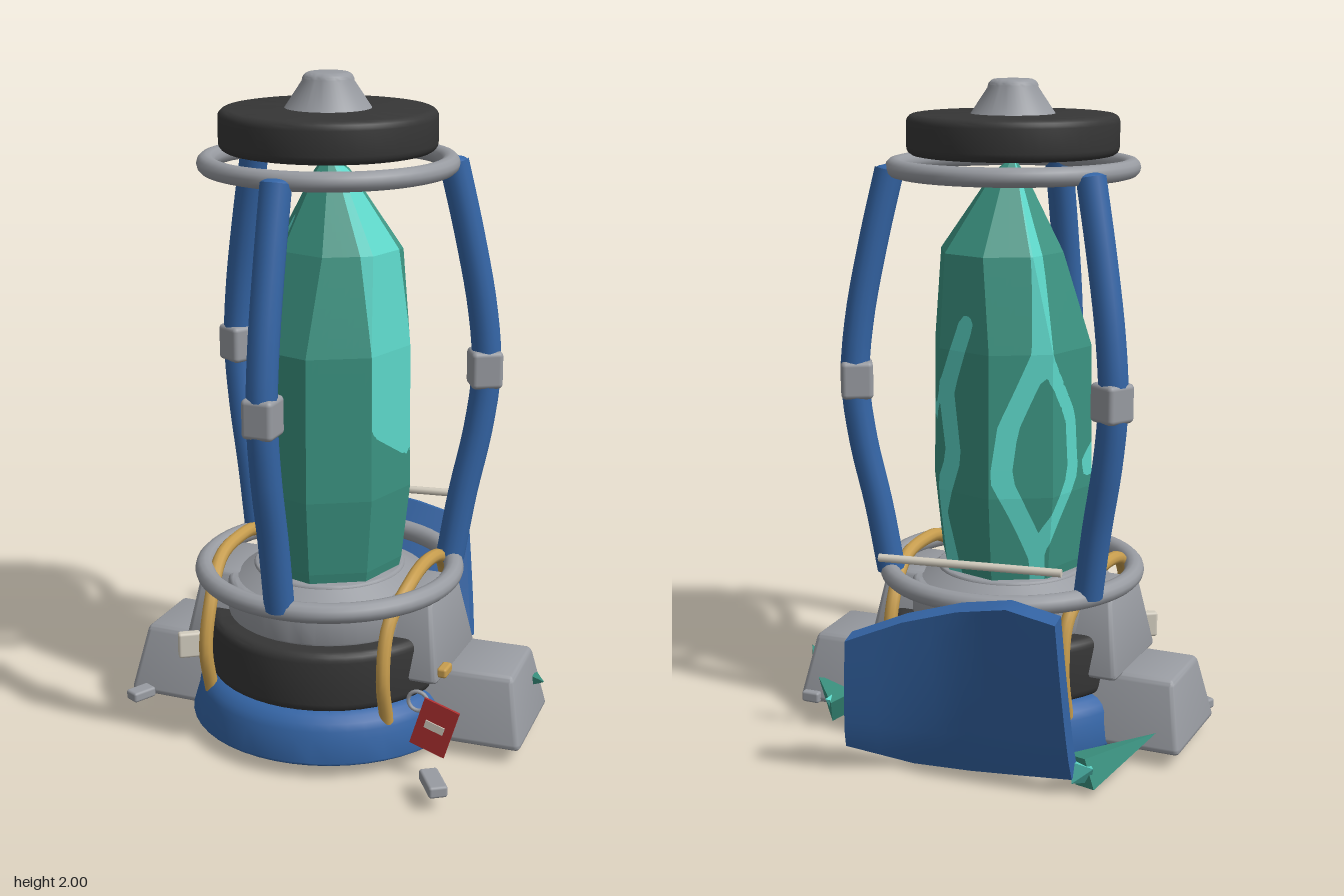
import * as THREE from 'three';
import { toCreasedNormals } from 'three/addons/utils/BufferGeometryUtils.js';
import { RoundedBoxGeometry } from 'three/addons/geometries/RoundedBoxGeometry.js';

const V = (x, y, z) => new THREE.Vector3(x, y, z);
const mat = (name, color) => {
  const m = new THREE.MeshStandardMaterial({ color });
  m.name = name;
  return m;
};

export function createModel() {
  const blue = mat('blue paint', 0x3465a6), grey = mat('grey metal', 0x989ba1);
  const black = mat('black rubber', 0x363636), gold = mat('gold hose', 0xc79d4e);
  const teal = mat('crystal green', 0x3b9381), glow = mat('crystal light vein', 0x5cd6c8);
  const red = mat('red tag', 0xac2f2f), cream = mat('cream', 0xd2ccbe);

  const model = new THREE.Group();
  model.name = 'crystalLantern';
  const core = new THREE.Group();
  core.name = 'lanternCore';
  core.position.set(-0.025, 0, 0.076);
  model.add(core);

  const add = (parent, name, geo, material, x = 0, y = 0, z = 0, rx = 0, ry = 0, rz = 0) => {
    const m = new THREE.Mesh(geo, material);
    m.name = name;
    m.position.set(x, y, z);
    m.rotation.set(rx, ry, rz);
    parent.add(m);
    return m;
  };

  // Round drum with rounded rims of size b
  const drum = (name, material, r0, r1, y0, y1, b0, b1) => {
    const pts = [new THREE.Vector2(0.0001, y0)];
    for (let i = 0; i <= 4; i++) {
      const a = (i / 4) * Math.PI / 2;
      pts.push(new THREE.Vector2(r0 - b0 + b0 * Math.sin(a), y0 + b0 - b0 * Math.cos(a)));
    }
    for (let i = 0; i <= 5; i++) {
      const a = (i / 5) * Math.PI / 2;
      pts.push(new THREE.Vector2(r1 - b1 + b1 * Math.cos(a), y1 - b1 + b1 * Math.sin(a)));
    }
    pts.push(new THREE.Vector2(0.0001, y1));
    add(core, name, toCreasedNormals(new THREE.LatheGeometry(pts, 48), 0.6), material);
  };
  drum('base', blue, 0.425, 0.405, 0.045, 0.195, 0.01, 0.075);
  drum('lowerTyre', black, 0.37, 0.37, 0.185, 0.375, 0.03, 0.03);
  drum('collar', grey, 0.31, 0.31, 0.37, 0.485, 0.01, 0.02);
  drum('crystalSeat', grey, 0.28, 0.23, 0.48, 0.53, 0.005, 0.01);
  drum('capTyre', black, 0.315, 0.315, 1.78, 1.9, 0.025, 0.025);
  drum('topKnob', grey, 0.125, 0.075, 1.895, 2.0, 0.005, 0.025);

  // Cage rings
  add(core, 'lowerRing', new THREE.TorusGeometry(0.38, 0.03, 12, 56), grey, 0, 0.51, 0, Math.PI / 2);
  add(core, 'upperRing', new THREE.TorusGeometry(0.35, 0.028, 12, 56), grey, 0, 1.745, 0, Math.PI / 2);

  // Three bowed struts with clamps
  const strutPath = new THREE.CatmullRomCurve3([[0.375, 0.515], [0.41, 0.72], [0.455, 0.93],
    [0.476, 1.115], [0.46, 1.3], [0.415, 1.53], [0.365, 1.74]].map(([r, y]) => V(0, y, r)));
  for (let i = 0; i < 3; i++) {
    const strut = new THREE.Group();
    strut.name = 'strut' + (i + 1);
    strut.rotation.y = i * Math.PI * 2 / 3;
    core.add(strut);
    add(strut, 'strutTube', new THREE.TubeGeometry(strutPath, 24, 0.044, 14), blue);
    for (const t of [0, 1]) {
      const p = strutPath.getPoint(t);
      add(strut, 'strutEnd', new THREE.SphereGeometry(0.044, 14, 8), blue, 0, p.y, p.z).scale.y = 0.35;
    }
    add(strut, 'strutClamp', new RoundedBoxGeometry(0.094, 0.115, 0.096, 3, 0.015), grey, 0, 1.115, 0.471);
  }

  // Crystal: eight-sided faceted column, faces split along the light veins
  const rings = [[0.2, 0.45, 0], [0.225, 0.56, 0], [0.25, 0.79, 0], [0.246, 1.22, 0],
    [0.19, 1.5, 0.025], [0.055, 1.72, 0.01], [0.002, 1.775, 0]];
  const deg = Math.PI / 180;
  const at = (t, y, r) => V(r * Math.sin(t * deg), y, r * Math.cos(t * deg));
  const veins = [
    [0.036, [[-60, 1.56], [-76, 1.36], [-56, 1.13], [-54, 1.0], [-86, 0.86]]],
    [0.03, [[-135, 1.74], [-133, 1.45], [-135, 1.22], [-160, 1.0], [-165, 0.85], [-138, 0.62]]],
    [0.024, [[-135, 1.22], [-108, 1.02], [-105, 0.85], [-138, 0.62], [-135, 0.5]]],
    [0.028, [[165, 1.3], [148, 1.1], [155, 0.9], [140, 0.72], [150, 0.5]]],
    [0.024, [[97, 1.02], [115, 1.0], [148, 1.1]]],
  ];
  const segs = veins.flatMap(([w, p]) => p.slice(1).map((b, i) =>
    [w, new THREE.Line3(at(p[i][0], p[i][1], 0.23), at(b[0], b[1], 0.23))]));
  const veinField = (p) => {
    const t = Math.atan2(p.x, p.z) / deg, q = at(t, p.y, 0.23), c = V(0, 0, 0);
    let f = Math.min(0.1 - Math.abs(t - 75) * 0.0044, p.y - 0.93 + (t - 75) * 0.0024);
    for (const [w, l] of segs) f = Math.max(f, w - l.closestPointToPoint(q, true, c).distanceTo(q));
    return f;
  };
  const soup = { light: [], dark: [] };
  const clip = (poly, sign, out) => {
    const kept = [];
    poly.forEach((a, i) => {
      const b = poly[(i + 1) % poly.length], fa = a.f * sign, fb = b.f * sign;
      if (fa >= 0) kept.push(a.p);
      if (fa * fb < 0) kept.push(a.p.clone().lerp(b.p, fa / (fa - fb)));
    });
    for (let i = 2; i < kept.length; i++) for (const p of [kept[0], kept[i - 1], kept[i]]) out.push(p.x, p.y, p.z);
  };
  const corner = (j, k) => {
    const [r, y, s] = rings[j];
    return at(7 + k * 45, y, r).add(V(s, 0, -s));
  };
  const N = 10;
  for (let j = 0; j < rings.length - 1; j++) for (let k = 0; k < 8; k++) {
    const [a, b, c, d] = [corner(j, k), corner(j, k + 1), corner(j + 1, k + 1), corner(j + 1, k)];
    const pt = (u, v) => {
      const p = a.clone().lerp(b, u / N).lerp(d.clone().lerp(c, u / N), v / N);
      return { p, f: veinField(p) };
    };
    for (let u = 0; u < N; u++) for (let v = 0; v < N; v++) {
      const q = [pt(u, v), pt(u + 1, v), pt(u + 1, v + 1), pt(u, v + 1)];
      for (const tri of [[q[0], q[1], q[2]], [q[0], q[2], q[3]]]) {
        clip(tri, 1, soup.light);
        clip(tri, -1, soup.dark);
      }
    }
  }
  const soupGeo = (list) => {
    const g = new THREE.BufferGeometry();
    g.setAttribute('position', new THREE.Float32BufferAttribute(list, 3));
    g.computeVertexNormals();
    return g;
  };
  add(core, 'crystalBody', soupGeo(soup.dark), teal);
  add(core, 'crystalVeins', soupGeo(soup.light), glow);

  // Side feet: tapered rounded blocks
  const taper = (w, h, d, kx, kz) => {
    const g = new RoundedBoxGeometry(w, h, d, 3, 0.02), p = g.attributes.position;
    for (let i = 0; i < p.count; i++) {
      const t = p.getY(i) / h + 0.5;
      p.setX(i, p.getX(i) * (1 - t * (1 - kx)));
      p.setZ(i, p.getZ(i) * (1 - t * (1 - kz)));
    }
    g.computeVertexNormals();
    return toCreasedNormals(g, 0.7);
  };
  for (const s of [-1, 1]) {
    const side = s > 0 ? 'left' : 'right';
    add(model, side + 'Foot', taper(0.36, 0.215, 0.355, 0.76, 0.68), grey, s * 0.45 - 0.01, 0.155, s > 0 ? 0.02 : 0.072, 0, s > 0 ? 0.05 : 0);
    add(core, side + 'Shoulder', taper(0.26, 0.24, 0.36, 0.68, 0.68), grey, s * 0.285, 0.37, 0);
    // Hose arching over each shoulder
    const hose = new THREE.CatmullRomCurve3([[0.25, 0.15], [0.285, 0.3], [0.24, 0.45], [0.13, 0.535], [0, 0.555],
      [-0.13, 0.535], [-0.25, 0.45], [-0.285, 0.3], [-0.25, 0.15]].map(([z, y]) => V(s * (0.285 + (y > 0.5 ? 0.02 : 0)), y, z)));
    add(core, side + 'Hose', new THREE.TubeGeometry(hose, 40, 0.021, 10), gold);
  }

  // Torn-off curved cover leaning behind the base
  const cover = new THREE.BoxGeometry(1, 1, 1, 8, 8, 1), cp = cover.attributes.position;
  const pick = (list, t) => {
    const i = Math.min(Math.floor(t * (list.length - 1)), list.length - 2);
    return THREE.MathUtils.lerp(list[i], list[i + 1], t * (list.length - 1) - i);
  };
  for (let i = 0; i < cp.count; i++) {
    const u = cp.getX(i) + 0.5, v = cp.getY(i) + 0.5, w = 0.5 - cp.getZ(i);
    const y = THREE.MathUtils.lerp(pick([0.07, 0.04, 0.02, 0.03, 0.1], u), pick([0.58, 0.6, 0.57, 0.53, 0.47], u), v);
    const z = THREE.MathUtils.lerp(pick([-0.34, -0.31, -0.3, -0.34, -0.45], u), pick([-0.48, -0.465, -0.46, -0.5, -0.555], u), Math.pow(v, 0.8));
    cp.setXYZ(i, -0.41 + u * (0.61 + 0.06 * (1 - v)), y - w * 0.015, z - w * 0.045);
  }
  cover.computeVertexNormals();
  add(model, 'brokenCover', cover, blue);

  // Loose rod at the back
  const rod = new THREE.LineCurve3(V(-0.33, 0.63, -0.275), V(0.215, 0.63, -0.355));
  const rodGeo = new THREE.CylinderGeometry(0.012, 0.012, 0.55, 10).rotateZ(Math.PI / 2);
  const mid = rod.getPoint(0.5);
  add(model, 'looseRod', rodGeo, cream, mid.x, mid.y, mid.z, 0, 0.146);

  // Crystal shards: four-sided spikes from base to tip
  const shard = (name, from, to, r, material) => {
    const dir = to.clone().sub(from), len = dir.length();
    const g = new THREE.ConeGeometry(r, len, 4).toNonIndexed();
    g.computeVertexNormals();
    const m = add(model, name, g, material);
    m.position.copy(from).lerp(to, 0.5);
    m.quaternion.setFromUnitVectors(V(0, 1, 0), dir.normalize());
  };
  shard('rightShard', V(-0.42, 0.065, -0.345), V(-0.57, 0.12, -0.115), 0.068, teal);
  shard('rightShardTip', V(-0.42, 0.065, -0.345), V(-0.475, 0.1, -0.385), 0.045, glow);
  shard('leftShard', V(0.43, 0.07, -0.2), V(0.56, 0.13, -0.13), 0.06, teal);
  shard('leftShardTip', V(0.47, 0.06, -0.15), V(0.46, 0.11, -0.26), 0.05, glow);
  shard('smallShard', V(0.585, 0.165, -0.08), V(0.635, 0.185, -0.03), 0.025, teal);

  // Rubble chips
  const chip = (w, h, d) => new RoundedBoxGeometry(w, h, d, 2, 0.008);
  add(model, 'rightChip', chip(0.05, 0.032, 0.08), grey, -0.583, 0.066, 0.28, 0, -0.45);
  add(model, 'frontChip', chip(0.055, 0.035, 0.12), grey, 0.46, 0.067, 0.48, 0, 0.6);
  add(model, 'leftChip', chip(0.06, 0.035, 0.03), grey, 0.565, 0.067, -0.16);

  // Latch plate and red tag on its ring
  add(model, 'latchPlate', chip(0.068, 0.08, 0.03), cream, -0.383, 0.287, 0.328, 0, 0.6);
  const tag = new THREE.Group();
  tag.name = 'hangingTag';
  tag.position.set(0.42, 0.175, 0.36);
  tag.rotation.z = -0.3;
  model.add(tag);
  add(tag, 'tagCard', new THREE.BoxGeometry(0.11, 0.155, 0.008), red);
  add(tag, 'tagLabel', new THREE.BoxGeometry(0.06, 0.024, 0.005), cream, 0, 0.003, 0.005);
  add(model, 'tagRing', new THREE.TorusGeometry(0.03, 0.006, 8, 20), grey, 0.365, 0.245, 0.35);
  add(model, 'goldClip', chip(0.03, 0.03, 0.06), gold, 0.395, 0.285, 0.205);
  return model;
}
